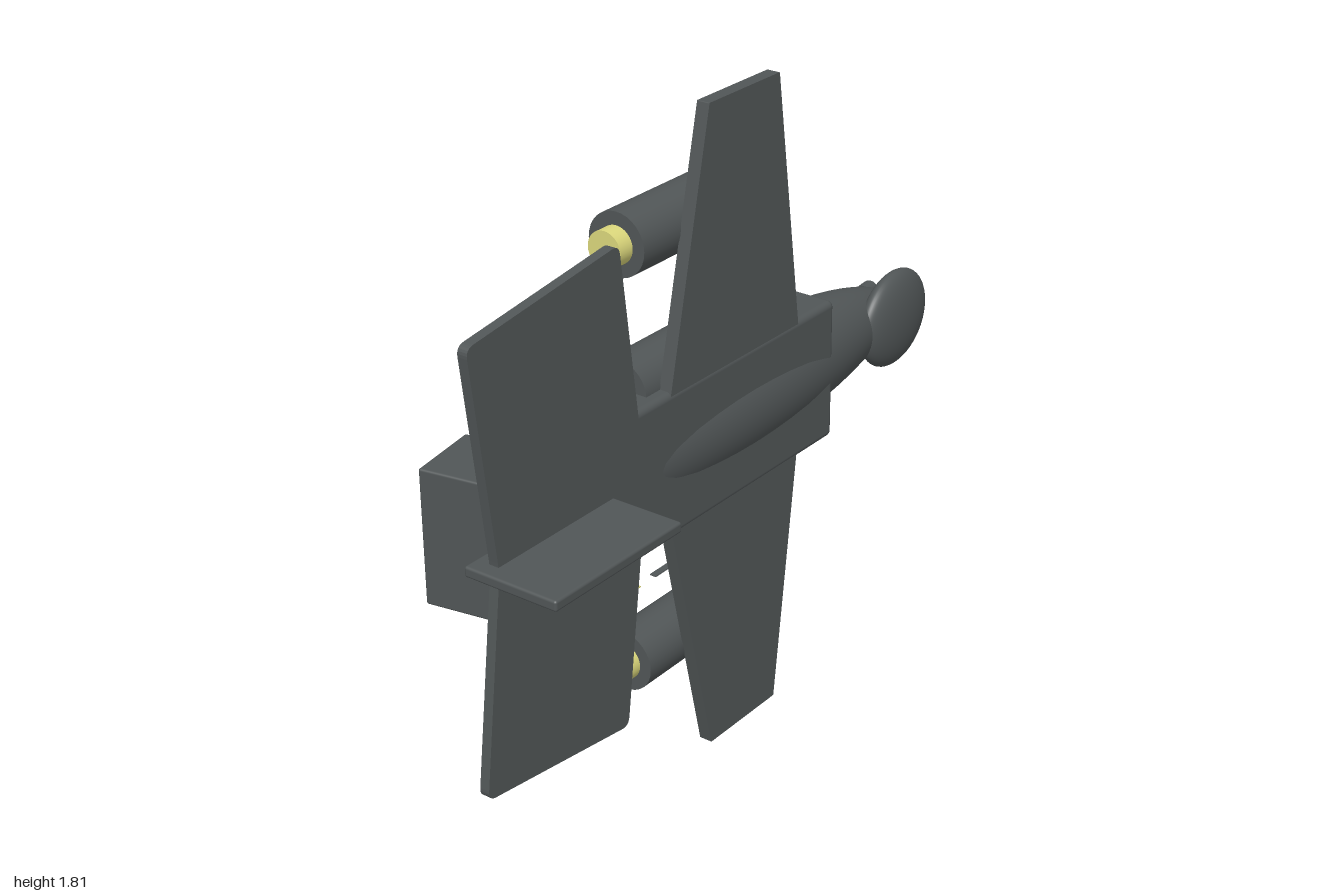
import * as THREE from 'three';
import { RoundedBoxGeometry } from 'three/addons/geometries/RoundedBoxGeometry.js';

const CY = 0.907; // height of the long axis

export function createModel() {
  const model = new THREE.Group();
  model.name = 'aircraft';
  const hull = new THREE.MeshStandardMaterial({ color: 0x515657 });
  hull.name = 'hull grey';
  const glow = new THREE.MeshStandardMaterial({ color: 0xdcd87c });
  glow.name = 'exhaust yellow';

  function add(name, geometry, material, x, y, z) {
    const mesh = new THREE.Mesh(geometry, material);
    mesh.name = name;
    mesh.position.set(x, y, z);
    model.add(mesh);
    return mesh;
  }

  function ellipsoid(name, rx, ry, rz, x, y, z) {
    const geometry = new THREE.SphereGeometry(1, 48, 32);
    geometry.rotateZ(Math.PI / 2);
    geometry.scale(rx, ry, rz);
    return add(name, geometry, hull, x, y, z);
  }

  function rodX(name, radius, length, material, x, y, z) {
    const geometry = new THREE.CylinderGeometry(radius, radius, length, 32);
    geometry.rotateZ(-Math.PI / 2);
    return add(name, geometry, material, x, y, z);
  }

  // Flat plate in the x-y plane with corners rounded by r
  function plate(name, points, r, z0, z1) {
    const shape = new THREE.Shape();
    const pts = points.map(([x, y]) => new THREE.Vector2(x, y));
    pts.forEach((p, i) => {
      const prev = pts[(i + pts.length - 1) % pts.length];
      const next = pts[(i + 1) % pts.length];
      const a = p.clone().add(prev.clone().sub(p).setLength(r));
      const b = p.clone().add(next.clone().sub(p).setLength(r));
      if (i === 0) shape.moveTo(a.x, a.y);
      else shape.lineTo(a.x, a.y);
      shape.quadraticCurveTo(p.x, p.y, b.x, b.y);
    });
    shape.closePath();
    const geometry = new THREE.ExtrudeGeometry(shape, {
      depth: z1 - z0, bevelEnabled: false, curveSegments: 6,
    });
    return add(name, geometry, hull, 0, CY, z0);
  }

  // Fuselage and cockpit
  add('body', new RoundedBoxGeometry(1.01, 0.402, 0.271, 4, 0.018), hull, -0.055, CY, -0.0995);
  ellipsoid('fuselage', 0.83, 0.163, 0.149, 0.09, CY, -0.095);
  ellipsoid('cockpit', 0.167, 0.14, 0.052, 0.833, CY, -0.022).rotation.y = 0.06;

  // Wings, tailplane and fin
  plate('wings', [
    [-0.105, -0.905], [0.185, -0.905], [0.307, 0], [0.185, 0.903], [-0.105, 0.903], [-0.311, 0],
  ], 0.002, -0.003, 0.034);
  plate('tailplane', [
    [-1.0, -0.59], [-0.465, -0.66], [-0.378, 0], [-0.465, 0.66], [-1.0, 0.59], [-0.925, 0],
  ], 0.026, 0.012, 0.04);
  add('fin', new RoundedBoxGeometry(0.467, 0.029, 0.275, 3, 0.007), hull, -0.735, CY, 0.1075);

  // Tail block, turned slightly outward
  add('tailBlock', new RoundedBoxGeometry(0.207, 0.364, 0.188, 3, 0.006), hull, -0.787, CY, -0.143)
    .rotation.y = 0.17;

  // Nose gun
  const gun = new THREE.Group();
  gun.name = 'noseGun';
  gun.position.set(0.85, CY, -0.173);
  gun.rotation.y = 0.1;
  gun.add(
    rodX('gunBarrel', 0.014, 0.18, hull, 0, 0, 0),
    rodX('gunMuzzle', 0.026, 0.046, hull, 0.094, 0, 0),
  );
  model.add(gun);

  // Engine pods with exhausts, mirrored above and below the axis
  for (const side of [-1, 1]) {
    for (const offset of [0.195, 0.583]) {
      const y = CY + side * offset;
      rodX('enginePod', 0.085, 0.535, hull, -0.053, y, -0.085);
      rodX('engineExhaust', 0.05, 0.06, glow, -0.337, y, -0.085);
    }
  }

  // Row of alternating thin dashes beside one wing
  for (let i = 0; i < 6; i++) {
    add('dash', new THREE.BoxGeometry(0.106, 0.003, 0.02), i % 2 ? glow : hull,
      -0.354 + i * 0.171, 0.424, -0.19);
  }
  return model;
}
